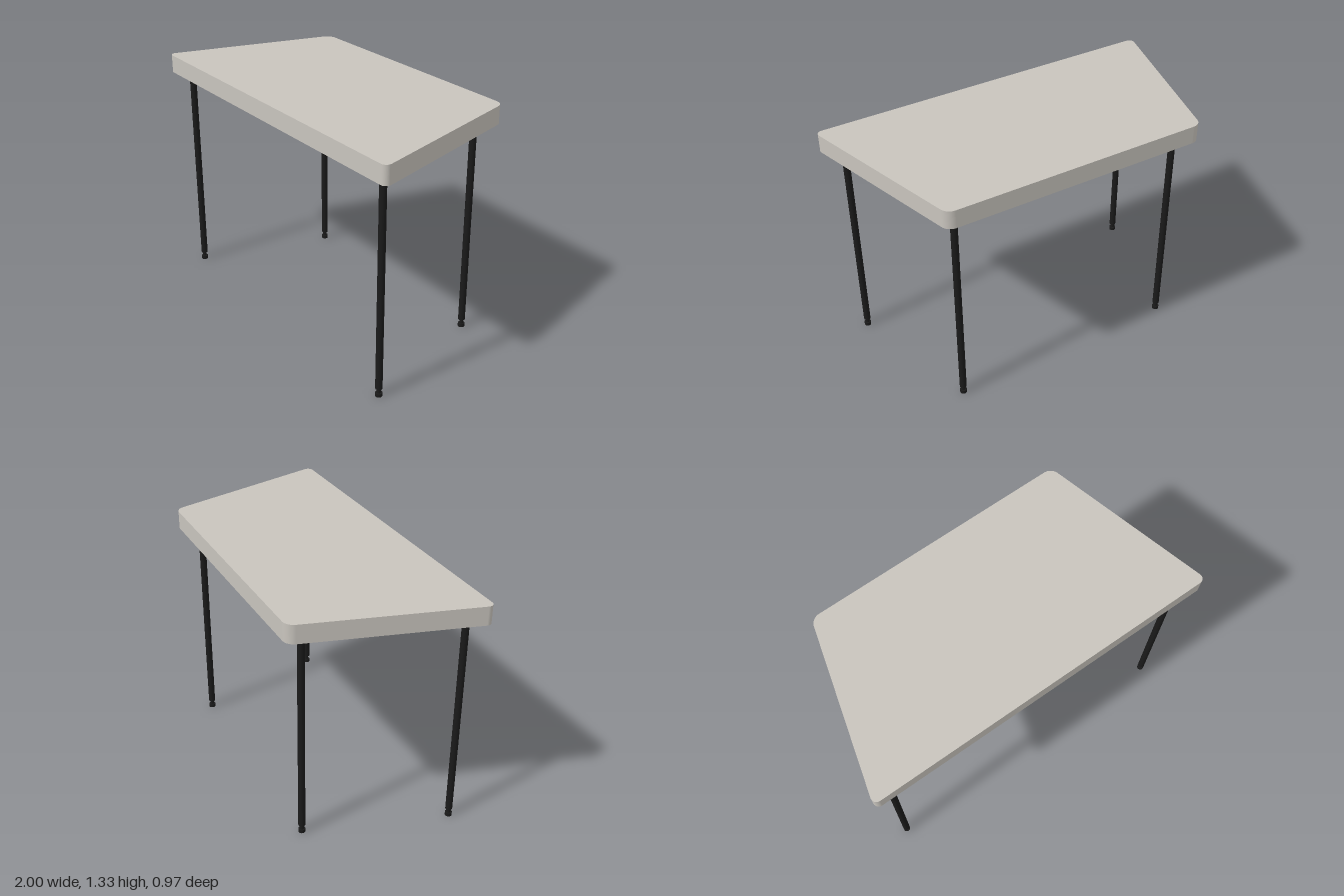
import * as THREE from 'three';

export function createModel() {
  const table = new THREE.Group();
  table.name = 'table';

  const topMaterial = new THREE.MeshStandardMaterial({ color: 0xc8c4bd });
  topMaterial.name = 'warm grey laminate';
  const legMaterial = new THREE.MeshStandardMaterial({ color: 0x1a1a1a });
  legMaterial.name = 'black metal';

  // Trapezoid outline with rounded corners, drawn in x and z
  const slope = 0.27, midHalfWidth = 0.877, halfDepth = 0.486;
  const tilt = Math.atan(slope);
  const frontR = 0.03, backR = 0.06;
  const cornerX = (z, r) => midHalfWidth + slope * z - r * Math.hypot(1, slope);
  const frontZ = halfDepth - frontR, backZ = -halfDepth + backR;
  const frontX = cornerX(frontZ, frontR), backX = cornerX(backZ, backR);

  const outline = new THREE.Shape();
  outline.absarc(backX, backZ, backR, -Math.PI / 2, -tilt, false);
  outline.absarc(frontX, frontZ, frontR, -tilt, Math.PI / 2, false);
  outline.absarc(-frontX, frontZ, frontR, Math.PI / 2, Math.PI + tilt, false);
  outline.absarc(-backX, backZ, backR, Math.PI + tilt, Math.PI * 1.5, false);
  outline.closePath();

  // Tabletop slab, laid flat so the extrusion runs downwards
  const topY = 1.333, undersideY = 1.23;
  const slab = new THREE.ExtrudeGeometry(outline, {
    depth: topY - undersideY, bevelEnabled: false, curveSegments: 16,
  });
  slab.rotateX(Math.PI / 2);
  const tabletop = new THREE.Mesh(slab, topMaterial);
  tabletop.name = 'tabletop';
  tabletop.position.y = topY;
  table.add(tabletop);

  // Leg parts: name, radius, bottom, top
  const parts = [
    ['footPad', 0.019, 0, 0.02],
    ['footStem', 0.011, 0.02, 0.045],
    ['legTube', 0.019, 0.045, undersideY],
  ].map(([name, r, y0, y1]) => {
    const geometry = new THREE.CylinderGeometry(r, r, y1 - y0, 16);
    geometry.translate(0, (y0 + y1) / 2, 0);
    return { name, geometry };
  });

  // Four legs in mirrored pairs
  for (const [end, x, z] of [['front', 0.888, 0.404], ['back', 0.66, -0.372]]) {
    for (const side of [1, -1]) {
      const leg = new THREE.Group();
      leg.name = end + (side > 0 ? 'Left' : 'Right') + 'Leg';
      for (const { name, geometry } of parts) {
        const mesh = new THREE.Mesh(geometry, legMaterial);
        mesh.name = name;
        leg.add(mesh);
      }
      leg.position.set(side * x, 0, z);
      table.add(leg);
    }
  }

  return table;
}
